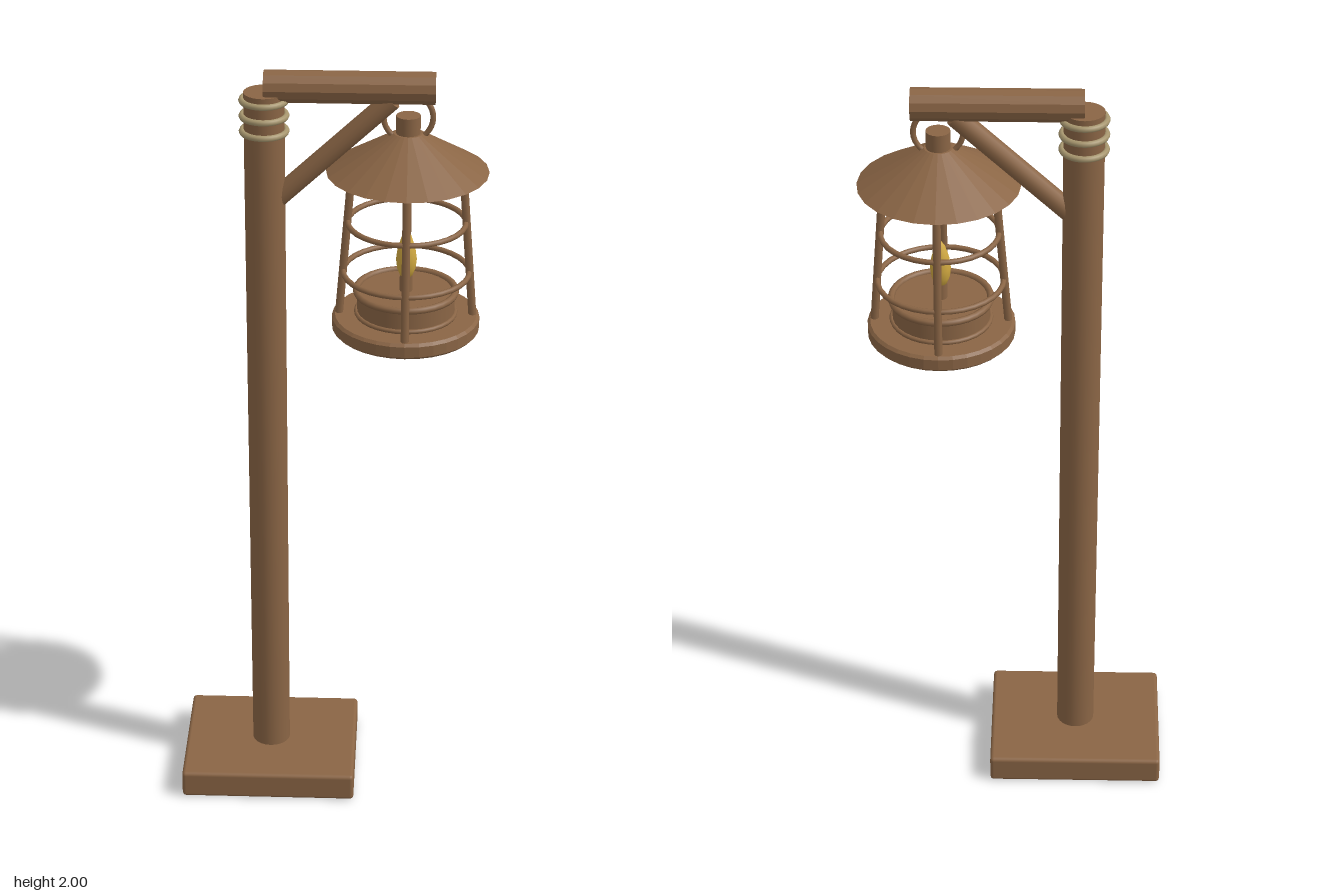
import * as THREE from 'three';
import { RoundedBoxGeometry } from 'three/addons/geometries/RoundedBoxGeometry.js';

export function createModel() {
  const model = new THREE.Group();
  model.name = 'lanternPost';

  const mat = (name, color) => {
    const m = new THREE.MeshStandardMaterial({ color });
    m.name = name;
    return m;
  };
  const wood = mat('brown wood', 0x8a6545);
  const rope = mat('pale rope', 0xa8976f);
  const glow = mat('amber bulb', 0xd0a840);

  const add = (parent, name, geometry, material, x = 0, y = 0, z = 0) => {
    const mesh = new THREE.Mesh(geometry, material);
    mesh.name = name;
    mesh.position.set(x, y, z);
    parent.add(mesh);
    return mesh;
  };
  // Straight rod between two points
  const rod = (parent, name, a, b, radius, sides, faceted = false) => {
    const from = new THREE.Vector3(...a), to = new THREE.Vector3(...b);
    const dir = to.clone().sub(from);
    let geo = new THREE.CylinderGeometry(radius, radius, dir.length(), sides);
    if (faceted) {
      geo = geo.toNonIndexed();
      geo.computeVertexNormals();
    }
    const mesh = add(parent, name, geo, wood);
    mesh.position.copy(from).add(to).multiplyScalar(0.5);
    mesh.quaternion.setFromUnitVectors(new THREE.Vector3(0, 1, 0), dir.normalize());
    return mesh;
  };
  // Horizontal ring
  const ring = (parent, name, radius, tube, y, material, x = 0) =>
    add(parent, name, new THREE.TorusGeometry(radius, tube, 8, 32).rotateX(Math.PI / 2), material, x, y);

  // Foot, post, beam and diagonal brace
  const postX = -0.16;
  add(model, 'base', new RoundedBoxGeometry(0.46, 0.075, 0.384, 2, 0.01), wood, postX, 0.0425);
  rod(model, 'post', [postX, 0.0, 0], [postX, 1.945, 0], 0.05, 24);
  rod(model, 'beam', [postX, 1.96, 0], [0.255, 1.96, 0], 0.04, 12, true);
  rod(model, 'brace', [-0.14, 1.66, 0], [0.15, 1.93, 0], 0.026, 12);

  // Rope bindings round the head of the post
  for (const y of [1.925, 1.885, 1.845]) ring(model, 'ropeBinding', 0.054, 0.008, y, rope, postX);

  // Hanging lantern
  const lantern = new THREE.Group();
  lantern.name = 'lantern';
  lantern.position.x = 0.19;
  model.add(lantern);

  add(lantern, 'hangingRing', new THREE.TorusGeometry(0.06, 0.007, 8, 32), wood, 0, 1.885);
  add(lantern, 'finial', new THREE.CylinderGeometry(0.03, 0.03, 0.06, 16), wood, 0, 1.86);

  // Faceted conical roof
  const roof = new THREE.CylinderGeometry(0.035, 0.2, 0.1, 24).toNonIndexed();
  roof.computeVertexNormals();
  add(lantern, 'roof', roof, wood, 0, 1.795);

  // Floor plate with softened rims
  const plate = [[0, 1.32], [0.178, 1.32], [0.185, 1.327], [0.185, 1.355], [0.178, 1.362], [0, 1.362]];
  const plateGeo = new THREE.LatheGeometry(plate.map(p => new THREE.Vector2(...p)), 32).toNonIndexed();
  plateGeo.computeVertexNormals();
  add(lantern, 'floorPlate', plateGeo, wood);

  // Burner drum and its rims
  add(lantern, 'burner', new THREE.CylinderGeometry(0.122, 0.122, 0.07, 32), wood, 0, 1.39);
  ring(lantern, 'burnerTopRim', 0.124, 0.009, 1.425, wood);
  ring(lantern, 'burnerLowerRim', 0.124, 0.006, 1.368, wood);

  // Cage of four leaning bars and two hoops
  for (let i = 0; i < 4; i++) {
    const c = Math.cos(i * Math.PI / 2), s = Math.sin(i * Math.PI / 2);
    rod(lantern, 'cageBar', [0.168 * c, 1.35, 0.168 * s], [0.135 * c, 1.76, 0.135 * s], 0.01, 8);
  }
  ring(lantern, 'upperHoop', 0.146, 0.007, 1.61, wood);
  ring(lantern, 'lowerHoop', 0.157, 0.007, 1.477, wood);

  // Socket and teardrop bulb
  add(lantern, 'socket', new THREE.CylinderGeometry(0.016, 0.016, 0.06, 12), wood, 0, 1.445);
  const bulb = [[0, 1.458], [0.014, 1.462], [0.023, 1.485], [0.026, 1.51], [0.022, 1.54], [0.012, 1.572], [0, 1.588]];
  add(lantern, 'bulb', new THREE.LatheGeometry(bulb.map(p => new THREE.Vector2(...p)), 16), glow);

  // Stand the foot exactly on the ground
  model.getObjectByName('base').position.y = 0.0375;
  model.getObjectByName('base').scale.y = 1;
  return model;
}
